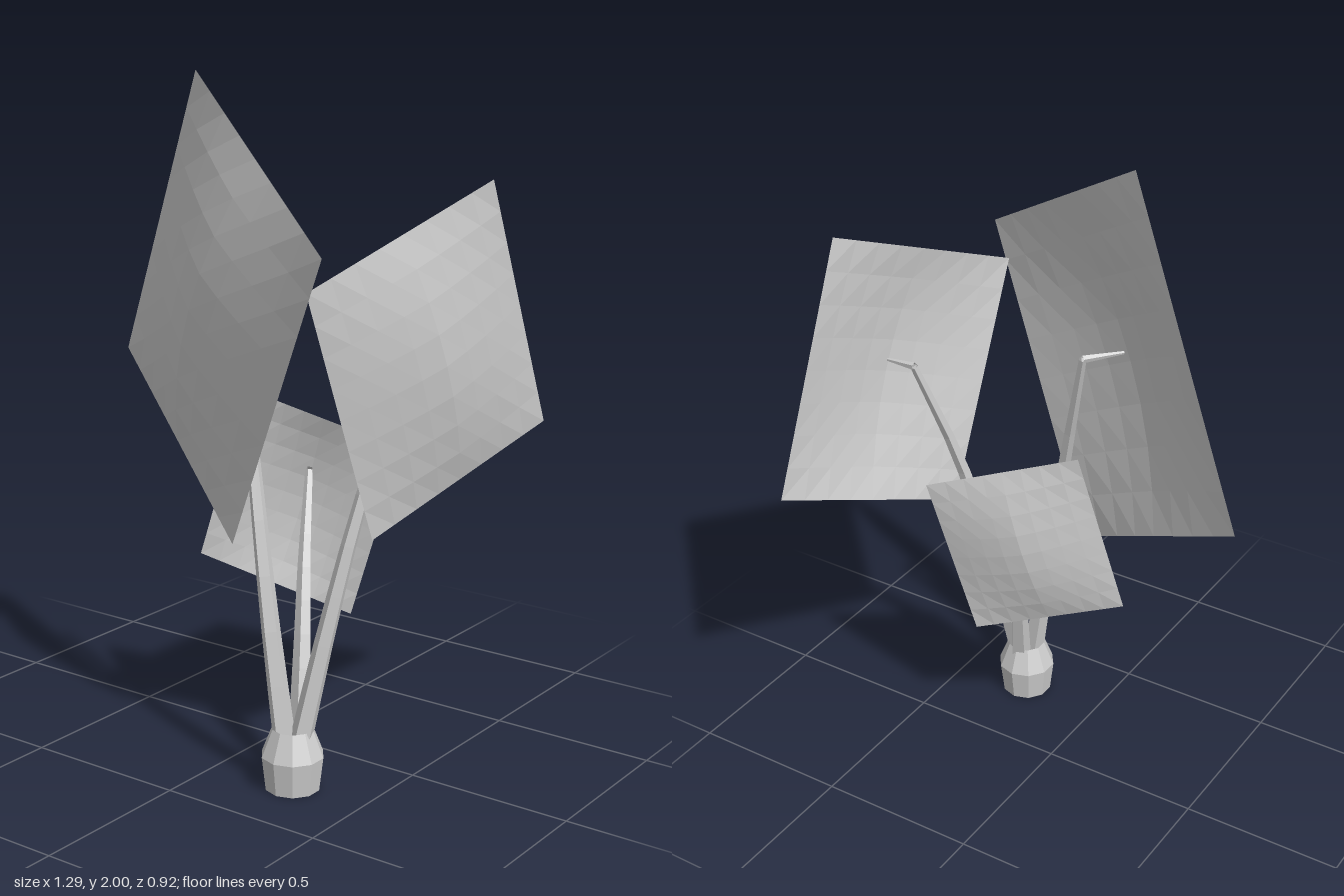
import * as THREE from 'three';

const grey = new THREE.MeshStandardMaterial({ color: 0xcccccc, flatShading: true, side: THREE.DoubleSide });
grey.name = 'pale grey';
const V = (x, y, z) => new THREE.Vector3(x, y, z);

function part(geometry, name, parent) {
  const mesh = new THREE.Mesh(geometry, grey);
  mesh.name = name;
  parent.add(mesh);
  return mesh;
}

// Five-sided tube whose radius shrinks from r0 to r1
function taperedTube(curve, segments, r0, r1) {
  const sides = 5;
  const geo = new THREE.TubeGeometry(curve, segments, 1, sides);
  const pos = geo.attributes.position;
  const p = V(0, 0, 0);
  for (let i = 0; i < pos.count; i++) {
    const t = Math.floor(i / (sides + 1)) / segments;
    const c = curve.getPointAt(t);
    p.fromBufferAttribute(pos, i).sub(c).multiplyScalar(THREE.MathUtils.lerp(r0, r1, t)).add(c);
    pos.setXYZ(i, p.x, p.y, p.z);
  }
  return geo;
}

// Straight-edged sheet from a top corner and its two neighbours, swelling to a soft ridge
function leafSheet(top, across, down, depth) {
  const u = across.clone().sub(top), v = down.clone().sub(top);
  const n = u.clone().cross(v).normalize();
  const geo = new THREE.PlaneGeometry(1, 1, 8, 8);
  const pos = geo.attributes.position;
  for (let i = 0; i < pos.count; i++) {
    const s = pos.getX(i) + 0.5, t = 0.5 - pos.getY(i);
    const a = Math.abs(2 * s - 1), b = Math.abs(2 * t - 1);
    const swell = depth * (1 - a ** 1.4) * (1 - b * b);
    const p = top.clone().addScaledVector(u, s).addScaledVector(v, t).addScaledVector(n, swell);
    pos.setXYZ(i, p.x, p.y, p.z);
  }
  geo.computeVertexNormals();
  return geo;
}

// Each leaf: sheet corners, ridge depth, stem path and the point its short stalk reaches
const leaves = [
  {
    name: 'largeLeaf', depth: -0.08,
    corners: [V(-0.2, 2, 0.105), V(0.49, 1.57, 0.46), V(-0.65, 1.11, -0.1)],
    stem: [V(0.25, 0.15, 0.29), V(0.19, 0.5, 0.28), V(0.105, 0.9, 0.235), V(-0.02, 1.37, 0.14)],
    joint: V(-0.1, 1.37, 0.24),
  },
  {
    name: 'sideLeaf', depth: 0.06,
    corners: [V(0.615, 1.72, -0.175), V(0.42, 1.47, 0.43), V(0.64, 0.99, -0.46)],
    stem: [V(0.295, 0.15, 0.27), V(0.35, 0.5, 0.215), V(0.415, 0.9, 0.13), V(0.48, 1.27, 0)],
    joint: V(0.585, 1.26, 0.01),
  },
  {
    name: 'smallLeaf', depth: 0.05,
    corners: [V(-0.055, 1.085, 0.06), V(0.38, 0.94, -0.1), V(-0.185, 0.575, 0.12)],
    stem: [V(0.27, 0.15, 0.24), V(0.235, 0.4, 0.18), V(0.19, 0.62, 0.11), V(0.13, 0.86, 0.005)],
    joint: V(0.1, 0.82, -0.035),
  },
];

export function createModel() {
  const model = new THREE.Group();
  model.name = 'pottedPlant';

  // Pot: ten-sided ring, open above and below
  const profile = [[0.08, 0], [0.092, 0.1], [0.06, 0.182]].map(([r, y]) => new THREE.Vector2(r, y));
  part(new THREE.LatheGeometry(profile, 10), 'pot', model).position.set(0.265, 0, 0.27);

  for (const { name, depth, corners, stem, joint } of leaves) {
    const group = new THREE.Group();
    group.name = name;
    part(leafSheet(...corners, depth), 'sheet', group);
    part(taperedTube(new THREE.CatmullRomCurve3(stem), 8, 0.034, 0.012), 'stem', group);
    // Short stalk joining the stem tip to the back of the sheet
    part(taperedTube(new THREE.LineCurve3(stem[3], joint), 1, 0.012, 0.005), 'stalk', group);
    model.add(group);
  }
  return model;
}
